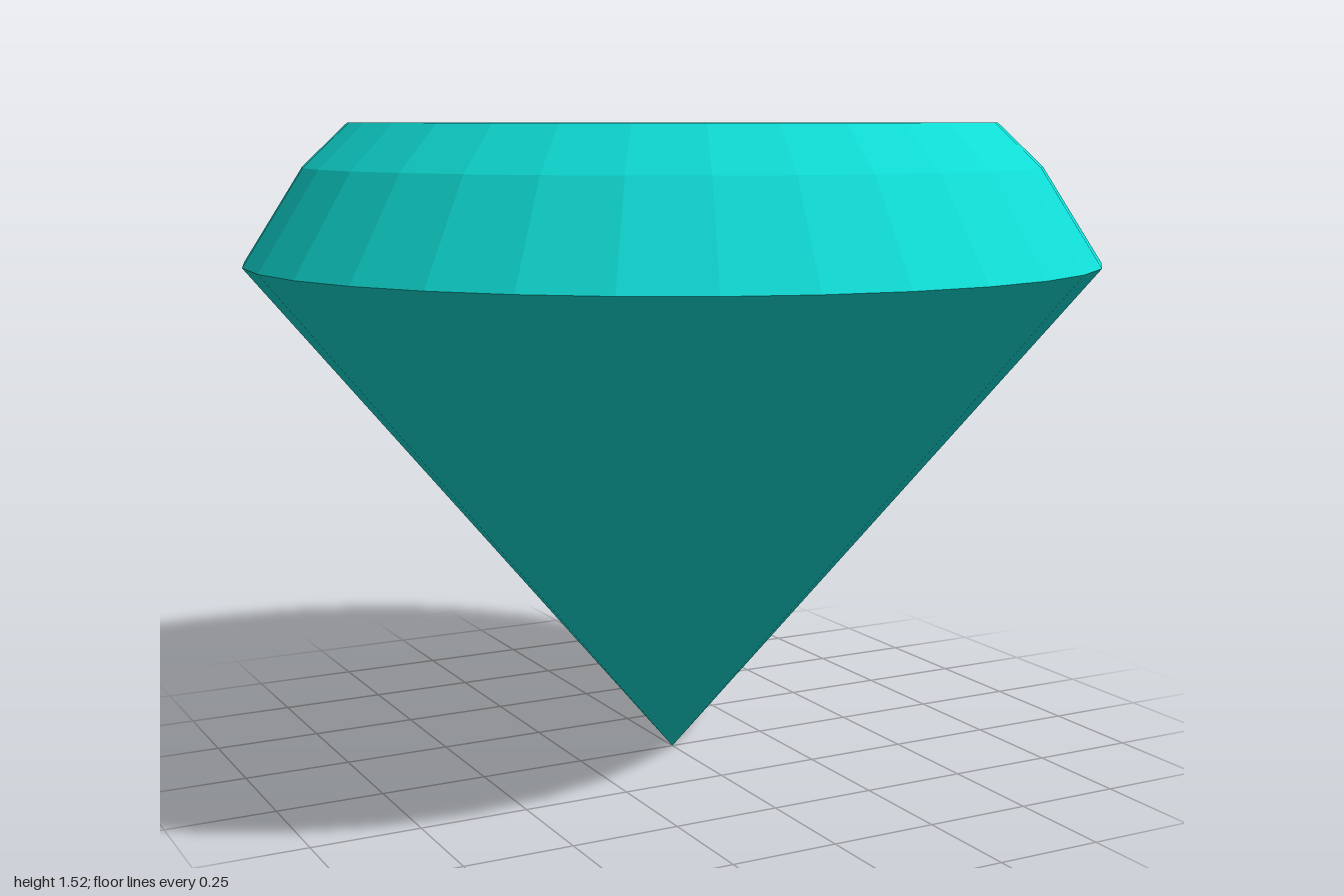
import * as THREE from 'three';

const SIDES = 32;

export function createModel() {
  const gem = new THREE.Group();
  gem.name = 'gem';
  const material = new THREE.MeshStandardMaterial({ color: 0x10dcd5, flatShading: true });

  // One faceted ring of the stone, between two heights
  function tier(name, rBottom, yBottom, rTop, yTop) {
    const height = yTop - yBottom;
    const geometry = new THREE.CylinderGeometry(rTop, rBottom, height, SIDES, 1, true);
    geometry.translate(0, yBottom + height / 2, 0);
    const mesh = new THREE.Mesh(geometry, material);
    mesh.name = name;
    gem.add(mesh);
  }

  tier('pavilion', 0, 0, 1, 1.2);
  tier('lowerCrown', 1, 1.2, 0.86, 1.42);
  tier('upperCrown', 0.86, 1.42, 0.755, 1.52);

  // Flat top facet; its corners line up with the crown's
  const table = new THREE.Mesh(new THREE.CircleGeometry(0.755, SIDES), material);
  table.name = 'table';
  table.rotation.x = -Math.PI / 2;
  table.position.y = 1.52;
  gem.add(table);

  return gem;
}
